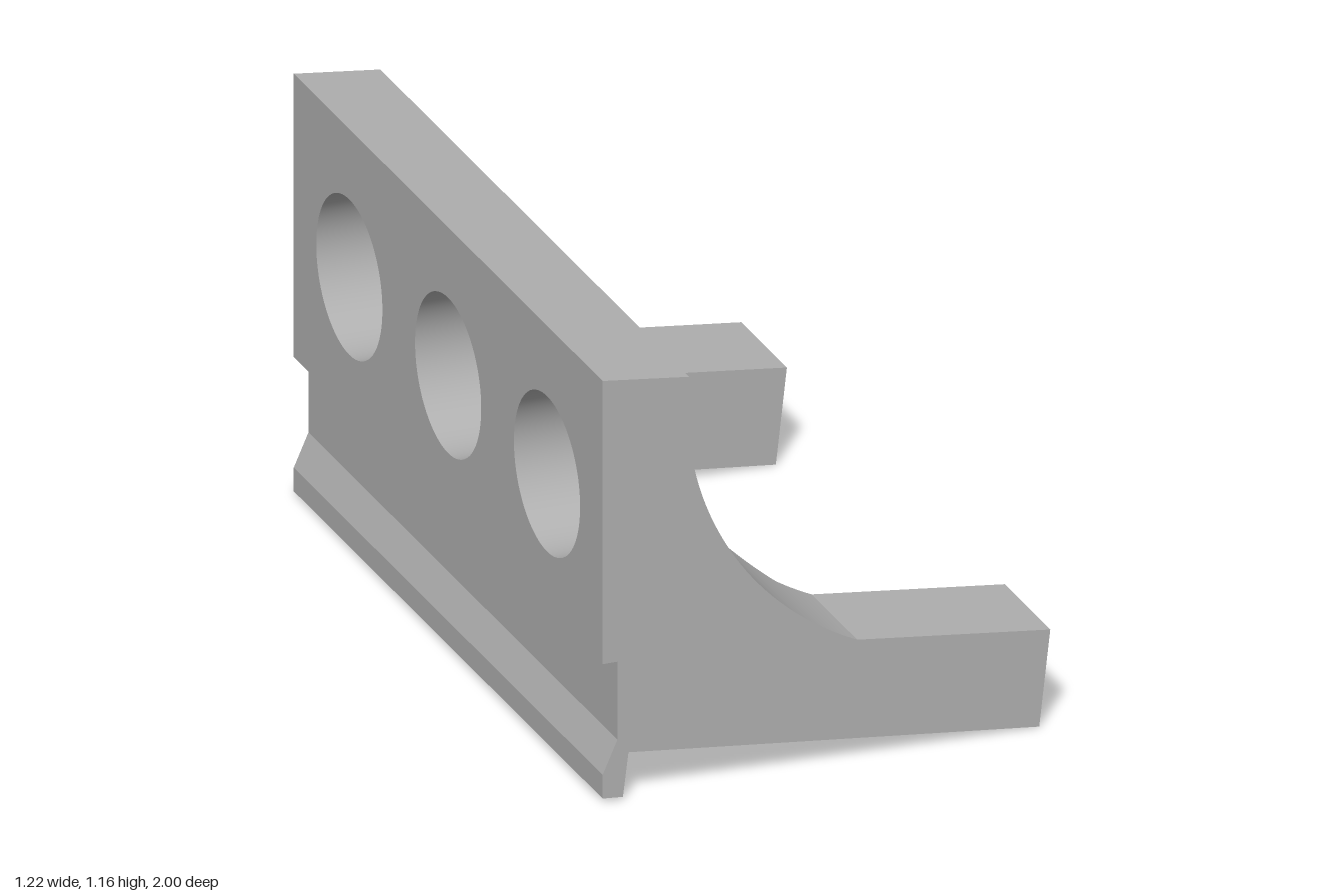
import * as THREE from 'three';
import { toCreasedNormals } from 'three/addons/utils/BufferGeometryUtils.js';

const HOLE_R = 0.214, HOLE_Y = 0.757, HOLE_Z = [-0.64, 0, 0.64];
const LEG_Z = 0.705, SLEEVE_R = 0.35, SLEEVE_T = 0.035;
const root = v => Math.sqrt(Math.max(0, v));
const lerp = THREE.MathUtils.lerp;

// Concave front face: a circular arc, as x of y and y of x
const arcX = y => 0.4135 - root(0.629 - (y - 1.05) ** 2);
const arcY = x => 1.05 - root(0.629 - (x - 0.4135) ** 2);
// Sloping underside
const underY = x => 0.003 + (0.575 - x) * 0.114;
// Domed pocket between the legs: an ellipsoid
const domeR = y => 0.87 * root(1 - ((y - 0.1) / 0.649) ** 2);
const domeX = (y, z) => Math.max(-0.535, 0.32 - root(domeR(y) ** 2 - z * z));
const domeCut = y => root(domeR(y) ** 2 - (arcX(y) - 0.32) ** 2);
const sleeveX = z => Math.abs(z) < SLEEVE_R ? -root(SLEEVE_R ** 2 - z * z) : 0;
// Holes: half width at a height, and lower edge at a z
const holeHalf = y => root(HOLE_R ** 2 - (y - HOLE_Y) ** 2);
const holeFloor = z => Math.abs(z) < HOLE_R ? HOLE_Y - root(HOLE_R ** 2 - z * z) : 9;
// Half width of the opening in the front face
const opening = y => Math.max(holeHalf(y),
  Math.min(LEG_Z, Math.max(domeCut(y), root(SLEEVE_R ** 2 - arcX(y) ** 2))));

function domeFoot(z) {
  let x = -0.4;
  for (let i = 0; i < 8; i++) x = domeX(underY(x), z);
  return x;
}
function domeTop(z) {
  if (Math.abs(z) < 0.268) return Math.min(0.57, holeFloor(z));
  let lo = 0.33, hi = 0.575;
  for (let i = 0; i < 30; i++) {
    const m = (lo + hi) / 2;
    if (domeCut(m) > Math.abs(z)) lo = m; else hi = m;
  }
  return lo;
}

// Surface from a rule f(u, v) with u, v in 0..1
function grid(nu, nv, f) {
  const pos = [], idx = [];
  for (let i = 0; i <= nu; i++) for (let j = 0; j <= nv; j++) pos.push(...f(i / nu, j / nv));
  for (let i = 0; i < nu; i++) for (let j = 0; j < nv; j++) {
    const a = i * (nv + 1) + j, b = a + nv + 1;
    idx.push(a, b, b + 1, a, b + 1, a + 1);
  }
  const g = new THREE.BufferGeometry();
  g.setAttribute('position', new THREE.Float32BufferAttribute(pos, 3));
  g.setIndex(idx);
  return toCreasedNormals(g, 0.6);
}

// Flat plate from an outline, placed by a mapping
function plate(points, map, flip = false, holes = []) {
  const shape = new THREE.Shape(points.map(p => new THREE.Vector2(...p)));
  shape.holes = holes;
  const g = new THREE.ShapeGeometry(shape, 48), p = g.attributes.position;
  for (let i = 0; i < p.count; i++) p.setXYZ(i, ...map(p.getX(i), p.getY(i)));
  if (flip) g.setIndex(Array.from(g.index.array).reverse());
  g.computeVertexNormals();
  return g;
}

const range = (n, f) => Array.from({ length: n + 1 }, (_, i) => f(i / n));

export function createModel() {
  const model = new THREE.Group();
  model.name = 'bracket';
  const grey = new THREE.MeshStandardMaterial({ color: 0xb0b0b0, side: THREE.DoubleSide });
  grey.name = 'plain grey';
  const add = (name, geometry) => {
    const m = new THREE.Mesh(geometry, grey);
    m.name = name;
    model.add(m);
  };
  // Flat bands running along z under a chain of profile points
  const bands = (name, pts, z0, z1) => {
    for (let i = 0; i + 1 < pts.length; i++) {
      const [p, q] = [pts[i], pts[i + 1]];
      add(name, grid(1, 1, (u, v) => [lerp(p[0], q[0], u), lerp(p[1], q[1], u), lerp(z0, z1, v)]));
    }
  };

  const topEdge = [[-0.375, 1.135], [-0.61, 1.165]];
  const backFoot = [[-0.61, 0.385], [-0.57, 0.385], [-0.57, 0.17], [-0.61, 0.08],
    [-0.61, 0.015], [-0.555, 0.01], [-0.54, 0.13]];
  const legEdge = [[0.575, 0.003], [0.605, 0.265], [0.08, 0.33]];
  const frontArc = range(40, t => { const y = lerp(0.33, 1.135, t); return [arcX(y), y]; });

  // End faces
  const profile = [...legEdge, ...frontArc.slice(1), topEdge[1], ...backFoot];
  for (const s of [1, -1]) add('endFace', plate(profile, (x, y) => [x, y, s], s < 0));

  // Top, lower back lip, leg tops and leg tips
  bands('topFace', topEdge, -1, 1);
  bands('lowerBackLip', backFoot, -1, 1);
  bands('leg', legEdge, LEG_Z, 1);
  bands('leg', legEdge, -1, -LEG_Z);

  // Back plate with three round holes
  const holes = HOLE_Z.map(z => new THREE.Path().absarc(z, HOLE_Y, HOLE_R, 0, Math.PI * 2, true));
  add('backFace', plate([[-1, 0.385], [1, 0.385], [1, 1.165], [-1, 1.165]],
    (z, y) => [-0.61, y, z], false, holes));

  // Hole walls
  for (const c of HOLE_Z) add('holeWall', grid(96, 1, (u, v) => {
    const a = u * Math.PI * 2, y = HOLE_Y + HOLE_R * Math.sin(a), dz = HOLE_R * Math.cos(a);
    const end = c === 0 ? Math.min(arcX(y), sleeveX(dz)) : arcX(y);
    return [lerp(-0.61, end, v), y, c + dz];
  }));

  // Concave front, in bands between the holes and the pocket
  const rows = [
    ...range(28, t => lerp(0.33, HOLE_Y - HOLE_R, t)),
    ...range(48, t => HOLE_Y - HOLE_R * Math.cos(t * Math.PI)).slice(1),
    ...range(8, t => lerp(HOLE_Y + HOLE_R, 1.135, t)).slice(1),
  ];
  const n = rows.length - 1;
  const split = y => Math.max(0.64 - holeHalf(y), opening(y));
  const pieces = [[opening, split], [y => Math.max(0.64 + holeHalf(y), opening(y)), () => 1]];
  for (const [lo, hi] of pieces) for (const s of [1, -1]) add('concaveFront', grid(n, 1, (u, v) => {
    const y = rows[Math.round(u * n)];
    const z = s > 0 ? lerp(lo(y), hi(y), v) : -lerp(hi(y), lo(y), v);
    return [arcX(y), y, z];
  }));

  // Underside with the curved mouth of the pocket
  const mouth = range(48, t => { const z = lerp(-LEG_Z, LEG_Z, t); return [domeFoot(z), z]; });
  add('underside', plate([[-0.54, -1], [0.575, -1], [0.575, -LEG_Z], ...mouth,
    [0.575, LEG_Z], [0.575, 1], [-0.54, 1]], (x, z) => [x, underY(x), z]));

  // Domed pocket wall
  add('pocketWall', grid(24, 80, (u, v) => {
    const z = lerp(-LEG_Z, LEG_Z, v), y = lerp(underY(domeFoot(z)), domeTop(z), u);
    const limit = Math.abs(z) < 0.3 ? sleeveX(z) - SLEEVE_T / 2 : 9;
    return [Math.min(domeX(y, z), limit), y, z];
  }));

  // Inner faces of the legs
  const top = domeTop(LEG_Z), foot = underY(domeFoot(LEG_Z));
  const inner = [...legEdge,
    ...range(6, t => { const y = lerp(0.33, top, t); return [arcX(y), y]; }).slice(1),
    ...range(16, t => { const y = lerp(top, foot, t); return [domeX(y, LEG_Z), y]; }).slice(1)];
  for (const s of [1, -1]) add('legInnerFace', plate(inner, (x, y) => [x, y, s * LEG_Z], s > 0));

  // Thin curved sleeve hanging below the middle hole
  const sleevePoint = (corner, v) => {
    const a = lerp(-1.2, 1.2, v), outer = corner === 2 || corner === 3;
    const r = SLEEVE_R + (outer ? SLEEVE_T : 0);
    const x = -r * Math.cos(a), z = r * Math.sin(a);
    const low = 0.385 - 0.025 * (z / 0.33) ** 2;
    const high = Math.min(arcY(x), holeFloor(z));
    return [x, corner === 1 || corner === 2 ? high : low, z];
  };
  add('sleeve', grid(4, 48, (u, v) => sleevePoint(Math.round(u * 4) % 4, v)));
  for (const e of [0, 1]) add('sleeveEnd', grid(1, 1, (u, v) =>
    sleevePoint(v < 0.5 ? (u < 0.5 ? 0 : 1) : (u < 0.5 ? 3 : 2), e)));

  return model;
}
